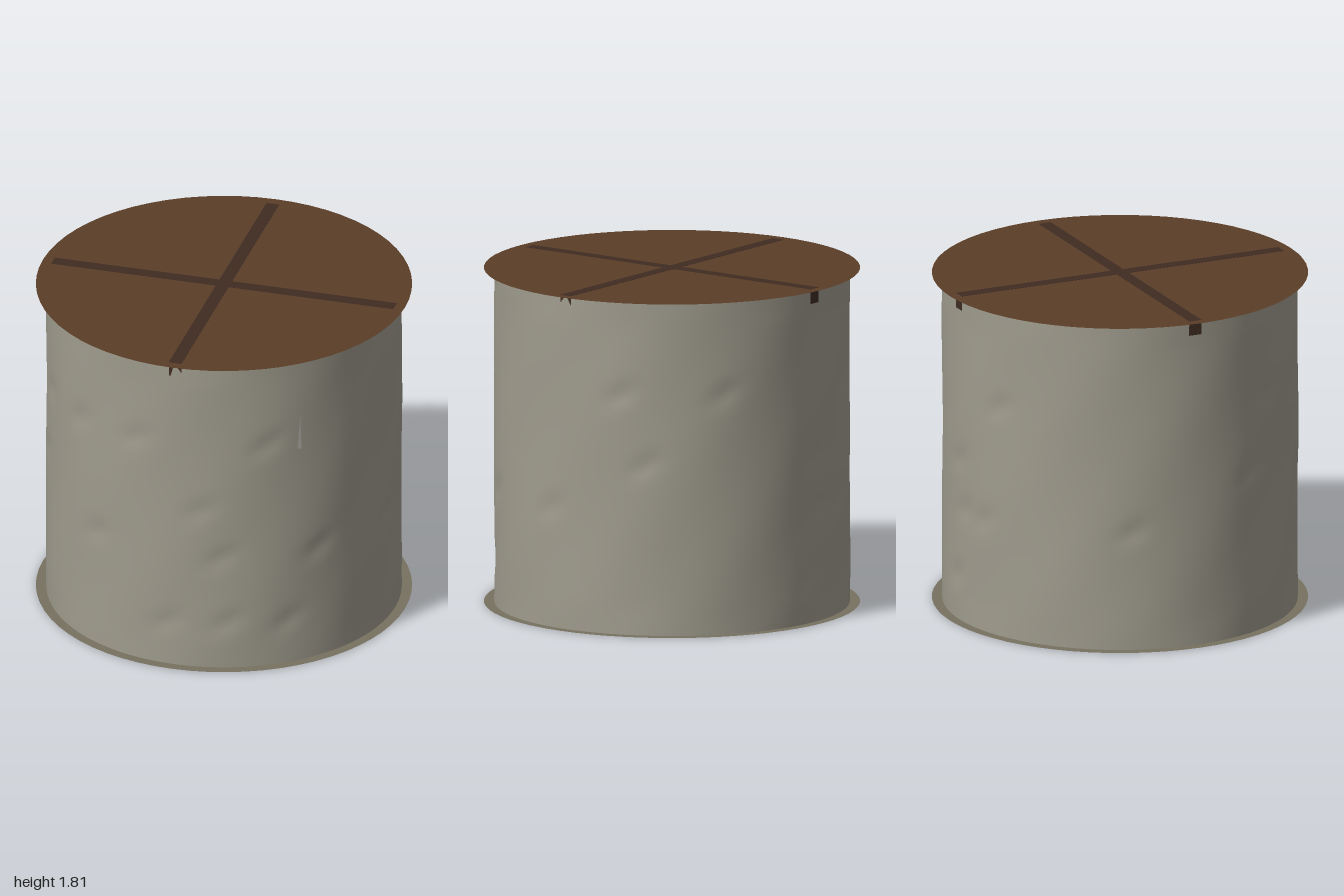
import * as THREE from 'three';

const R = 0.945, H = 1.81;

// Shallow dents in the plaster: [degrees around from the front, height]
const dents = [
  [-60, 1.3], [-38, 1.3], [-14, 1.32], [30, 1.32], [110, 1.3], [144, 1.3], [202, 1.27],
  [-67, 0.9], [8, 0.93], [118, 0.92], [181, 0.9],
  [-30, 0.67], [15, 0.65], [48, 0.65], [84, 0.65], [184, 0.63], [195, 0.62], [249, 0.65],
  [-3, 0.25], [17, 0.27], [37, 0.25], [178, 0.25],
];

function material(color) {
  return new THREE.MeshStandardMaterial({ color, roughness: 0.95, side: THREE.DoubleSide });
}

function add(parent, name, geometry, mat) {
  const mesh = new THREE.Mesh(geometry, mat);
  mesh.name = name;
  parent.add(mesh);
  return mesh;
}

// Wall radius: slow waves plus slanted oval dents, fading to true at both rims
function wallRadius(a, y) {
  let d = 0.002 * Math.sin(5 * a + 4 * y) + 0.0015 * Math.sin(9 * a - 7 * y);
  for (const [deg, h] of dents) {
    let da = a - THREE.MathUtils.degToRad(deg);
    da = Math.atan2(Math.sin(da), Math.cos(da));
    const dy = y - h, u = da * R - 0.5 * dy;
    d -= 0.009 * Math.exp(-(u * u) / 0.005 - (dy * dy) / 0.004);
  }
  return R + d * Math.min(1, y / 0.15, (H - y) / 0.15);
}

function wallGeometry() {
  const g = new THREE.CylinderGeometry(R, R, H, 128, 48, true);
  g.translate(0, H / 2, 0);
  const p = g.attributes.position;
  for (let i = 0; i < p.count; i++) {
    const a = Math.atan2(p.getX(i), p.getZ(i)), y = p.getY(i);
    const r = wallRadius(a, y);
    p.setXYZ(i, r * Math.sin(a), y, r * Math.cos(a));
  }
  g.computeVertexNormals();
  // Match the normals across the closing seam
  const n = g.attributes.normal, row = 129;
  for (let i = 0; i < p.count; i += row) {
    const v = new THREE.Vector3().fromBufferAttribute(n, i)
      .add(new THREE.Vector3().fromBufferAttribute(n, i + row - 1)).normalize();
    n.setXYZ(i, v.x, v.y, v.z);
    n.setXYZ(i + row - 1, v.x, v.y, v.z);
  }
  return g;
}

export function createModel() {
  const group = new THREE.Group();
  group.name = 'drum';
  const stone = material(0x9f9b8d), wood = material(0x5a3d28);
  const darkWood = material(0x3f2c22), baseMat = material(0x77715f);

  add(group, 'wall', wallGeometry(), stone);

  // Thin wooden lid and thin base, both overhanging the wall
  const lid = add(group, 'lid', new THREE.CircleGeometry(1, 64), wood);
  lid.rotation.x = -Math.PI / 2;
  lid.position.y = H;

  const base = add(group, 'base', new THREE.CircleGeometry(1, 64), baseMat);
  base.rotation.x = -Math.PI / 2;
  base.position.y = 0.002;

  // Narrow footing ring on the underside
  const ring = add(group, 'footingRing', new THREE.RingGeometry(0.948, 0.965, 64), stone);
  ring.rotation.x = Math.PI / 2;

  // Crossed beams set into the lid
  for (const [name, turn] of [['beamAcross', 0], ['beamAlong', Math.PI / 2]]) {
    const beam = add(group, name, new THREE.BoxGeometry(2 * R, 0.081, 0.07), darkWood);
    beam.position.y = H - 0.0395;
    beam.rotation.y = turn;
  }

  // Small pale sliver showing through the plaster
  const shape = new THREE.Shape();
  shape.moveTo(-0.012, -0.1);
  shape.lineTo(0.012, -0.1);
  shape.lineTo(0.004, 0.1);
  const sliver = add(group, 'plasterSliver', new THREE.ShapeGeometry(shape), material(0xb0aea6));
  const a = THREE.MathUtils.degToRad(41);
  sliver.position.set((R + 0.003) * Math.sin(a), 1.37, (R + 0.003) * Math.cos(a));
  sliver.rotation.y = a;

  return group;
}
